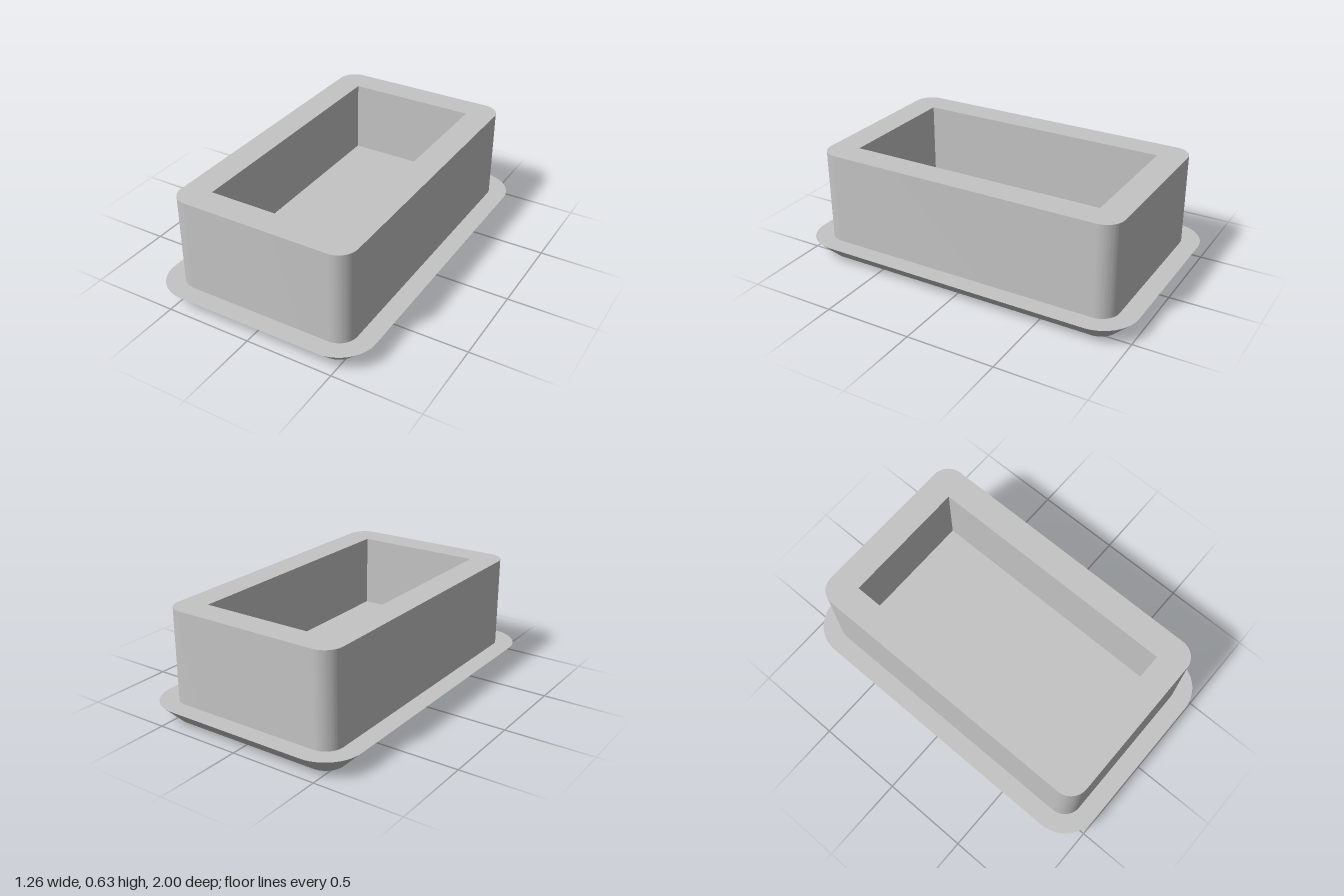
import * as THREE from 'three';
import { toCreasedNormals } from 'three/addons/utils/BufferGeometryUtils.js';

const U = 2 / 19; // modelling unit
const CX = 4 * U, CZ = 7.5 * U; // shared centres of the rounded corners

// Rounded rectangle around the shared corner centres
function roundedOutline(r) {
  const s = new THREE.Shape();
  s.absarc(CX, CZ, r, 0, Math.PI / 2);
  s.absarc(-CX, CZ, r, Math.PI / 2, Math.PI);
  s.absarc(-CX, -CZ, r, Math.PI, Math.PI * 1.5);
  s.absarc(CX, -CZ, r, Math.PI * 1.5, Math.PI * 2);
  s.closePath();
  return s;
}

// Extrude an outline upwards from y0 to y1
function extrudeUp(shape, y0, y1) {
  const g = new THREE.ExtrudeGeometry(shape, { depth: y1 - y0, bevelEnabled: false, curveSegments: 16 });
  return g.rotateX(-Math.PI / 2).translate(0, y0, 0);
}

export function createModel() {
  const group = new THREE.Group();
  const grey = new THREE.MeshStandardMaterial({ color: 0xc4c4c4 });
  grey.name = 'grey';

  const add = (name, geometry) => {
    const mesh = new THREE.Mesh(geometry, grey);
    mesh.name = name;
    group.add(mesh);
  };

  // Flared base: the bottom corners shrink to half the rim's radius
  const base = extrudeUp(roundedOutline(2 * U), 0, U);
  const p = base.attributes.position;
  for (let i = 0; i < p.count; i++) {
    if (p.getY(i) > U / 2) continue;
    const x = p.getX(i), z = p.getZ(i);
    const cx = THREE.MathUtils.clamp(x, -CX, CX), cz = THREE.MathUtils.clamp(z, -CZ, CZ);
    p.setXYZ(i, (x + cx) / 2, 0, (z + cz) / 2);
  }
  add('flaredBase', toCreasedNormals(base, 0.5));

  // Walls around a sharp-cornered rectangular recess
  const hx = 3.5 * U, hz = 7 * U;
  const outline = roundedOutline(U);
  outline.holes.push(new THREE.Path([
    new THREE.Vector2(-hx, -hz), new THREE.Vector2(-hx, hz),
    new THREE.Vector2(hx, hz), new THREE.Vector2(hx, -hz),
  ]));
  add('walls', toCreasedNormals(extrudeUp(outline, U, 6 * U), 0.5));

  // Floor of the recess
  add('recessFloor', new THREE.BoxGeometry(2 * hx, U, 2 * hz).translate(0, 1.5 * U, 0));

  return group;
}
